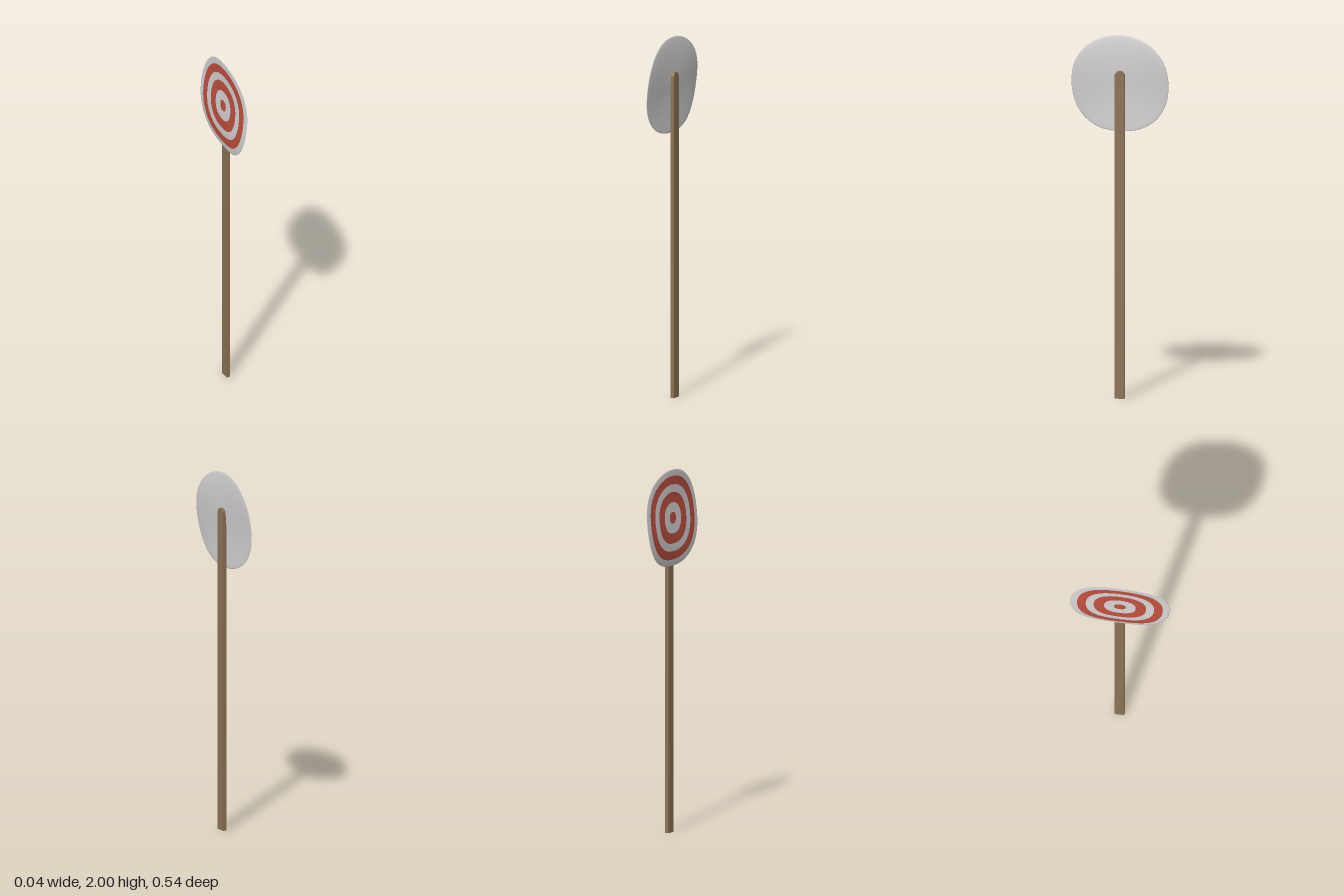
import * as THREE from 'three';

const white = new THREE.MeshStandardMaterial({ color: 0xd6d3d4 });
white.name = 'paleBoard';
const red = new THREE.MeshStandardMaterial({ color: 0xc0503f });
red.name = 'targetRed';
const wood = new THREE.MeshStandardMaterial({ color: 0x8d7356 });
wood.name = 'wood';

const CY = 1.735, SEG = 64;

// Slightly squared round outline, squarer towards the bottom
function boardPoint(t, a, side) {
  const c = Math.cos(a), s = Math.sin(a);
  const n = 2.22 - 0.12 * s;
  const r = t / Math.pow(Math.pow(Math.abs(c) / 0.27, n) + Math.pow(Math.abs(s) / 0.265, n), 1 / n);
  const z = r * c, y = r * s;
  // Gentle warp of the whole board, plus its thickness
  const warp = -0.004 + 0.007 * Math.sin(y * 9) + 0.004 * t * t * Math.sin(3 * a + 0.5);
  const half = 0.006 * Math.sqrt(Math.max(0, 1 - t ** 4));
  return [warp + side * half, CY + y, z];
}

// Closed warped disc: rows run from the painted centre over the rim to the back centre
function makeBoard() {
  const bands = [ // outer edge of each painted ring, material index
    [0.12, 1], [0.32, 0], [0.53, 1], [0.69, 0], [0.865, 1], [0.94, 0], [0.98, 0], [1, 0],
  ];
  const rows = [[0.001, -1, 1]];
  let previous = 0;
  for (const [t, m] of bands) {
    rows.push([(previous + t) / 2, -1, m], [t, -1, m]);
    previous = t;
  }
  for (const t of [0.99, 0.97, 0.93, 0.87, 0.75, 0.6, 0.4, 0.2, 0.001]) rows.push([t, 1, 0]);

  const positions = [], index = [];
  const geometry = new THREE.BufferGeometry();
  rows.forEach(([t, side, material], i) => {
    for (let j = 0; j < SEG; j++) positions.push(...boardPoint(t, (j / SEG) * Math.PI * 2, side));
    if (i === 0) return;
    geometry.addGroup(index.length, SEG * 6, material);
    for (let j = 0; j < SEG; j++) {
      const k = (j + 1) % SEG;
      const a = (i - 1) * SEG + j, b = i * SEG + j, c = i * SEG + k, d = (i - 1) * SEG + k;
      index.push(a, b, c, a, c, d);
    }
  });
  geometry.setAttribute('position', new THREE.Float32BufferAttribute(positions, 3));
  geometry.setIndex(index);
  geometry.computeVertexNormals();
  const mesh = new THREE.Mesh(geometry, [white, red]);
  mesh.name = 'targetBoard';
  return mesh;
}

// Flat wooden post with a rounded top
function makePost() {
  const w = 0.027, top = 1.805;
  const shape = new THREE.Shape();
  shape.moveTo(-w, 0);
  shape.lineTo(w, 0);
  shape.lineTo(w, top - w);
  shape.absarc(0, top - w, w, 0, Math.PI, false);
  shape.lineTo(-w, 0);
  const geometry = new THREE.ExtrudeGeometry(shape, { depth: 0.021, bevelEnabled: false, curveSegments: 10 });
  geometry.rotateY(Math.PI / 2);
  geometry.translate(0, 0, -0.003);
  const mesh = new THREE.Mesh(geometry, wood);
  mesh.name = 'post';
  return mesh;
}

export function createModel() {
  const group = new THREE.Group();
  group.name = 'targetSign';
  group.add(makeBoard(), makePost());
  return group;
}
